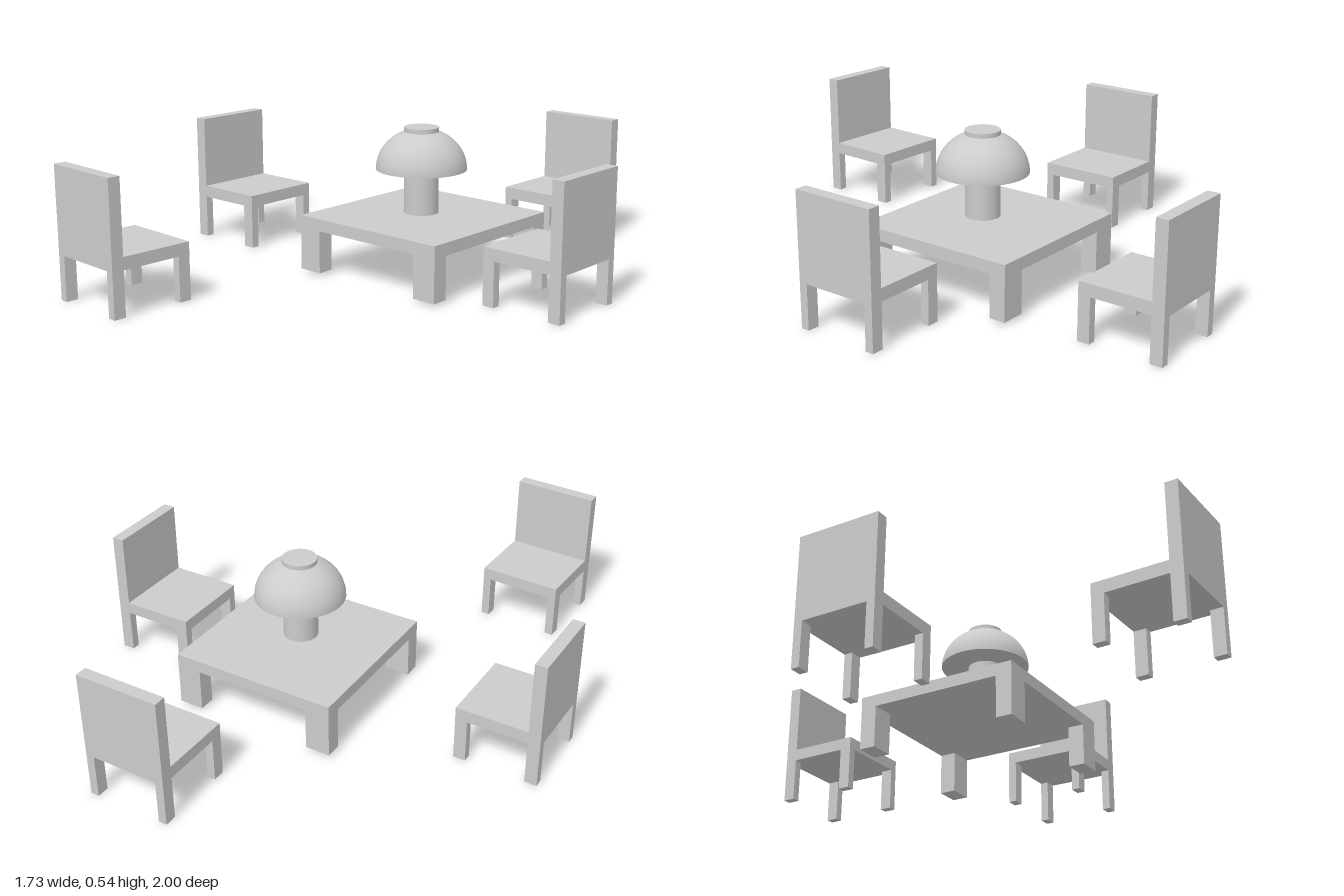
import * as THREE from 'three';

const grey = new THREE.MeshStandardMaterial({ color: 0xcccccc });

function add(parent, name, geometry, x, y, z) {
  const mesh = new THREE.Mesh(geometry, grey);
  mesh.name = name;
  mesh.position.set(x, y, z);
  parent.add(mesh);
  return mesh;
}

// Box that stands on y0 and reaches y1
function slab(parent, name, w, d, y0, y1, x = 0, z = 0) {
  return add(parent, name, new THREE.BoxGeometry(w, y1 - y0, d), x, (y0 + y1) / 2, z);
}

// Four legs flush with the corners of a w by d top
function legs(parent, name, w, d, legW, legD, y0, y1) {
  for (const sx of [-1, 1])
    for (const sz of [-1, 1])
      slab(parent, name, legW, legD, y0, y1, sx * (w - legW) / 2, sz * (d - legD) / 2);
}

// Chair facing +z, backrest at -z
function chair(name, x, z, turn) {
  const g = new THREE.Group();
  g.name = name;
  const size = 0.312, thick = 0.045;
  slab(g, 'seat', size, size - thick, 0.162, 0.207, 0, thick / 2);
  slab(g, 'backrest', size, thick, 0.162, 0.477, 0, (thick - size) / 2);
  legs(g, 'chairLeg', size, size, 0.031, thick, 0, 0.162);
  g.position.set(x, 0, z);
  g.rotation.y = turn;
  return g;
}

function table() {
  const g = new THREE.Group();
  g.name = 'table';
  slab(g, 'tableTop', 0.63, 0.63, 0.167, 0.212);
  legs(g, 'tableLeg', 0.63, 0.63, 0.093, 0.062, 0.01, 0.167);
  return g;
}

// Dome lamp with a stem that passes through the shade
function lamp() {
  const g = new THREE.Group();
  g.name = 'lamp';
  add(g, 'stem', new THREE.CylinderGeometry(0.063, 0.063, 0.314, 32), 0, 0.38, 0);
  const r = 0.165, h = 0.148;
  add(g, 'shade', new THREE.SphereGeometry(r, 40, 16, 0, Math.PI * 2, 0, Math.PI / 2), 0, 0.384, 0)
    .scale.y = h / r;
  add(g, 'shadeBase', new THREE.CircleGeometry(r, 40), 0, 0.384, 0).rotation.x = Math.PI / 2;
  return g;
}

export function createModel() {
  const model = new THREE.Group();
  model.name = 'diningSet';

  // Table with the lamp at its centre
  const centre = new THREE.Group();
  centre.name = 'tableWithLamp';
  centre.add(table(), lamp());
  centre.position.set(0.125, 0, -0.122);
  centre.getObjectByName('lamp').position.set(0.005, 0, 0.018);
  model.add(centre);

  // Chairs around it, the front one slightly turned
  model.add(
    chair('backChair', 0.235, -0.844, 0),
    chair('rightChair', -0.71, -0.055, Math.PI / 2),
    chair('leftChair', 0.705, -0.088, -Math.PI / 2),
    chair('frontChair', -0.391, 0.837, Math.PI - 0.04),
  );
  return model;
}
